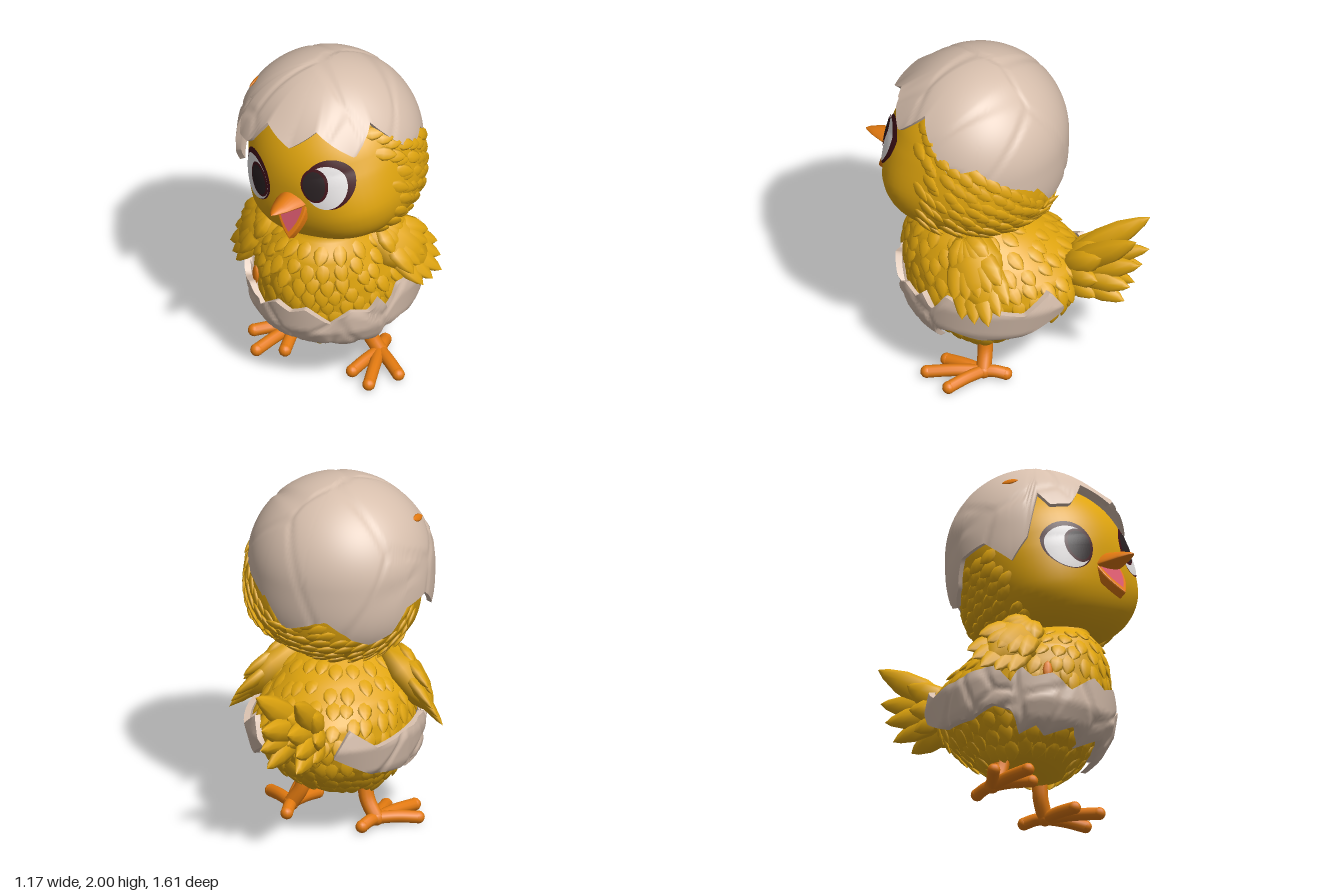
import * as THREE from 'three';
import { mergeGeometries, toCreasedNormals } from 'three/addons/utils/BufferGeometryUtils.js';

const mat = (name, color, side = THREE.FrontSide) => {
  const m = new THREE.MeshStandardMaterial({ color, side });
  m.name = name;
  return m;
};
const V = (x, y, z) => new THREE.Vector3(x, y, z);
const RAD = Math.PI / 180, TAU = Math.PI * 2;
let seed = 7;
const rnd = () => (seed = (seed * 16807) % 2147483647) / 2147483647;

// Linear lookup in rows of [key, value, value...]
function lookup(table, k, col = 1) {
  for (let i = 1; i < table.length; i++) {
    const a = table[i - 1], b = table[i];
    if (k <= b[0]) return a[col] + (b[col] - a[col]) * Math.max(0, (k - a[0]) / (b[0] - a[0]));
  }
  return table[table.length - 1][col];
}

// Surface from a rule fn(i, j) -> Vector3
function grid(nu, nv, fn, crease = 3) {
  const pos = [], idx = [];
  for (let i = 0; i <= nu; i++) for (let j = 0; j <= nv; j++) pos.push(...fn(i, j).toArray());
  for (let i = 0; i < nu; i++) for (let j = 0; j < nv; j++) {
    const a = i * (nv + 1) + j, b = a + nv + 1;
    idx.push(a, a + 1, b, b, a + 1, b + 1);
  }
  const g = new THREE.BufferGeometry();
  g.setAttribute('position', new THREE.Float32BufferAttribute(pos, 3));
  g.setIndex(idx);
  return toCreasedNormals(g, crease);
}

// Pointed, flattened feather
const lathe = (pts, n) => new THREE.LatheGeometry(pts.map(p => new THREE.Vector2(...p)), n);
const plume = lathe([[0, 0], [0.34, 0.15], [0.5, 0.45], [0.42, 0.7], [0.2, 0.9], [0, 1]], 8);
function feather(base, dir, normal, len, width, thick) {
  const y = dir.clone().normalize();
  const z = normal.clone().addScaledVector(y, -normal.dot(y)).normalize();
  const m = new THREE.Matrix4().makeBasis(y.clone().cross(z), y, z).setPosition(base);
  return plume.clone().applyMatrix4(m.scale(V(width, len, thick)));
}

// Body rings: y, x centre, z centre, x radius, z radius
const BODY = [[0.18, 0, 0.08, 0, 0], [0.2, 0, 0.08, 0.16, 0.15], [0.25, 0, 0.085, 0.27, 0.24],
  [0.35, 0, 0.085, 0.35, 0.38], [0.45, 0, 0.07, 0.395, 0.46], [0.6, 0, 0.05, 0.42, 0.5],
  [0.7, 0, 0.065, 0.41, 0.495], [0.8, 0, 0.115, 0.375, 0.445], [0.9, 0.02, 0.165, 0.3, 0.36],
  [1.0, 0.05, 0.215, 0.2, 0.22], [1.1, 0.06, 0.22, 0.2, 0.2]];
const bodyPoint = (y, a, ox = 0, oz = 0) => V(
  lookup(BODY, y, 1) + Math.sin(a) * (lookup(BODY, y, 3) + ox), y,
  lookup(BODY, y, 2) + Math.cos(a) * (lookup(BODY, y, 4) + oz));

// Round egg form with a fuller lower half; the skull also has broad cheeks
const HR = V(0.485, 0.46, 0.48);
const girth = y => y < 0 ? Math.cbrt(Math.max(0, 1 + y ** 3)) : Math.sqrt(Math.max(0, 1 - y * y));
const ovoid = (y, a, r) => V(Math.sin(a) * girth(y) * r.x, y * r.y, Math.cos(a) * girth(y) * r.z);
const boxy = y => 2 + 0.7 * Math.min(1, Math.max(0, (0.15 - y) / 0.6));
function skullPoint(y, a) {
  const p = ovoid(y, a, HR), n = boxy(y), c = Math.cos(a);
  const f = c > 0 ? Math.pow(Math.abs(Math.sin(a)) ** n + c ** n, -1 / n) : 1;
  return V(p.x * f, p.y, p.z * f);
}
function faceZ(x, y) {
  const n = boxy(y / HR.y);
  return HR.z * Math.pow(Math.max(0, girth(y / HR.y) ** n - Math.abs(x / HR.x) ** n), 1 / n);
}

// Eggshell outlines: angle from the front in degrees, height
const CAP_EDGE = [[0, 1.71], [18, 1.81], [45, 1.675], [62, 1.82], [89, 1.57], [108, 1.62], [137, 1.35],
  [150, 1.4], [165, 1.23], [195, 1.32], [212, 1.2], [225, 1.16], [240, 1.22], [250, 1.36], [270, 1.4],
  [288, 1.27], [298, 1.4], [304, 1.68], [312, 1.6], [325, 1.62], [336, 1.78], [360, 1.71]];
const BELT_TOP = [[0, 0.58], [11, 0.62], [27, 0.52], [40, 0.6], [52, 0.57], [60, 0.64], [66, 0.55], [76, 0.67],
  [105, 0.63], [124, 0.6], [143, 0.71], [153, 0.56]];
const BELT_LOW = [[0, 0.28], [16, 0.35], [37, 0.29], [48, 0.33], [62, 0.29], [68, 0.4], [80, 0.44],
  [100, 0.4], [128, 0.42], [153, 0.555]];

// Soft groove along the borders between scattered cells
function cracks(count, make) {
  const cells = Array.from({ length: count }, make);
  return p => {
    const d = cells.map(c => c.distanceTo(p)).sort((a, b) => a - b);
    return 1 - THREE.MathUtils.smoothstep(d[1] - d[0], 0, 0.05);
  };
}

export function createModel() {
  const model = new THREE.Group();
  const yellow = mat('yellow down', 0xe0a50e), shell = mat('eggshell', 0xd7bfad);
  const orange = mat('orange skin', 0xe37a10), pink = mat('mouth pink', 0xd4566a, THREE.DoubleSide);
  const white = mat('eye white', 0xe6e3e3), maroon = mat('dark maroon', 0x421219), black = mat('pupil black', 0x2a2123);
  const add = (parent, name, geo, m) => {
    const mesh = new THREE.Mesh(geo, m);
    mesh.name = name;
    parent.add(mesh);
    return mesh;
  };

  // Body with overlapping rows of small feathers
  add(model, 'body', grid(56, 46, (i, j) => bodyPoint(1.1 - 0.02 * j, i / 56 * TAU)), yellow);
  const coat = [];
  for (let row = 0; row < 10; row++) {
    const y = 0.96 - row * 0.075, n = Math.round(TAU * lookup(BODY, y, 3) / 0.085);
    for (let k = 0; k < n; k++) {
      const a = (k + (row % 2) / 2 + rnd() * 0.5) / n * TAU, p = bodyPoint(y + rnd() * 0.03, a);
      const down = bodyPoint(p.y - 0.04, a).sub(p).normalize();
      const out = bodyPoint(p.y, a + 0.05).sub(p).cross(down).negate().normalize();
      coat.push(feather(p.addScaledVector(out, -0.012), down.addScaledVector(out, 0.1), out, 0.12 + rnd() * 0.03, 0.09, 0.03));
    }
  }
  add(model, 'bodyFeathers', mergeGeometries(coat), yellow);

  // Tilted head
  const head = new THREE.Group();
  head.name = 'head';
  head.position.set(0.05, 1.45, 0.15);
  head.rotation.set(0, -0.12, 0.24, 'ZYX');
  head.updateMatrix();
  model.add(head);
  add(head, 'skull', grid(64, 40, (i, j) => skullPoint(Math.cos(j / 40 * Math.PI), i / 64 * TAU)), yellow);
  const ruff = [];
  for (let k = 0; k < 460; k++) {
    const p = skullPoint(1 - 2 * (k + 0.5) / 460, k * 2.39996 + rnd() * 0.1);
    const w = p.clone().applyMatrix4(head.matrix);
    const ang = (Math.atan2(w.x - 0.01, w.z - 0.14) / RAD + 360) % 360;
    if (p.z > 0.2 || w.y > lookup(CAP_EDGE, ang) + 0.03) continue;
    const out = p.clone().divide(HR).divide(HR).normalize();
    const dir = V(0, -0.6, -1);
    dir.addScaledVector(out, -dir.dot(out)).normalize().addScaledVector(out, 0.1);
    ruff.push(feather(p.addScaledVector(out, -0.012), dir, out, 0.12 + rnd() * 0.03, 0.08, 0.03));
  }
  add(head, 'headFeathers', mergeGeometries(ruff), yellow);

  // Eyes: thin layers that follow the face, both looking a little to one side
  const disc = (cx, cy, rx, ry, lift) => grid(48, 16, (i, j) => {
    const a = i / 48 * TAU, x = cx + Math.cos(a) * rx * j / 16, y = cy + Math.sin(a) * ry * j / 16;
    return V(x, y, faceZ(x, y) + lift);
  });
  const EYES = [
    { name: 'leftEye', rim: 0.247, white: [0.232, 0.112], iris: [0.182, 0.024] },
    { name: 'rightEye', rim: -0.249, white: [-0.254, 0.116], iris: [-0.21, 0.005] }];
  for (const e of EYES) {
    const eye = new THREE.Group();
    eye.name = e.name;
    head.add(eye);
    add(eye, 'eyeRim', disc(e.rim, 0.015, 0.129, 0.142, 0.005), maroon);
    add(eye, 'eyeWhite', disc(e.white[0], 0.002, e.white[1], 0.125, 0.009), white);
    add(eye, 'iris', disc(...e.iris, 0.075, 0.1, 0.013), maroon);
    add(eye, 'pupil', disc(...e.iris, 0.062, 0.086, 0.017), black);
  }

  // Open beak: ridged upper half with a flat underside, scoop-shaped jaw with a pink mouth
  const bill = lathe([[1, 0], [0.88, 0.3], [0.5, 0.7], [0.2, 0.92], [0, 1]], 24).rotateX(Math.PI / 2);
  const bp = bill.attributes.position;
  for (let i = 0; i < bp.count; i++) {
    const y = bp.getY(i);
    bp.setXY(i, bp.getX(i) * (1 - 0.4 * Math.max(0, y)), y < 0 ? y * 0.4 : y);
  }
  bill.scale(0.112, 0.075, 0.24).computeVertexNormals();
  const upper = add(head, 'upperBeak', bill, orange);
  upper.position.set(0, -0.1, 0.42);
  upper.rotation.x = -0.1;
  const lip = k => {
    const s = new THREE.Shape();
    s.moveTo(-0.1 * k, 0);
    s.lineTo(0.1 * k, 0);
    s.quadraticCurveTo(0.085 * k, -0.1 * k, 0, -0.185 * k);
    s.quadraticCurveTo(-0.085 * k, -0.1 * k, -0.1 * k, 0);
    return s;
  };
  const jaw = new THREE.Group();
  jaw.name = 'lowerBeak';
  jaw.position.set(0, -0.115, 0.47);
  jaw.rotation.x = -0.5;
  head.add(jaw);
  add(jaw, 'jaw', new THREE.ExtrudeGeometry(lip(0.95), { depth: 0.04, bevelSize: 0.008, bevelThickness: 0.008, bevelSegments: 2 })
    .translate(0, 0, -0.04), orange);
  add(jaw, 'mouth', new THREE.ShapeGeometry(lip(0.8)).translate(0, -0.003, 0.011), pink);

  // Cracked eggshell cap, flaring a little over the forehead
  const capR = V(0.52, 0.5, 0.495), capMid = V(0.01, 1.5, 0.14), M = 38;
  const capCrack = cracks(14, () => ovoid(rnd() * 1.5 - 0.5, rnd() * TAU, capR));
  add(model, 'eggshellCap', grid(180, 2 * M + 1, (i, j) => {
    const a = i / 180 * TAU, t = Math.min(j, 2 * M + 1 - j) / M;
    const edge = Math.acos((lookup(CAP_EDGE, i * 2) - 1.5) / 0.5);
    const p = ovoid(Math.cos(edge * t), a, capR);
    p.multiplyScalar(j > M ? 0.945 : 1 - 0.014 * capCrack(p));
    p.z += 0.04 * t ** 5 * Math.max(0, Math.cos(a));
    return p.add(capMid);
  }, 1.1), shell);

  // Cracked eggshell belt, open at the back
  const N = 12;
  const beltCrack = cracks(16, () => bodyPoint(0.3 + rnd() * 0.35, (rnd() * 2 - 1) * 2.2, 0.06, 0.03));
  add(model, 'eggshellBelt', grid(204, 2 * N + 2, (i, j) => {
    const deg = i * 1.5 - 153, k = j > 2 * N + 1 ? 0 : j, t = Math.min(k, 2 * N + 1 - k) / N;
    const top = lookup(BELT_TOP, Math.abs(deg)), low = lookup(BELT_LOW, Math.abs(deg));
    const p = bodyPoint(top + (low - top) * t, deg * RAD, 0.07, 0.05);
    const q = k > N ? 0.035 : 0.012 * beltCrack(p);
    return bodyPoint(p.y, deg * RAD, 0.075 - q, 0.055 - q);
  }, 1.1), shell);

  // Orange slivers showing through a split in the cap and behind the belt
  const capSpot = ovoid(0.58, -82 * RAD, capR), spotOut = capSpot.clone().normalize();
  add(model, 'capGap', feather(capSpot.add(capMid), V(0, -0.1, 1), spotOut, 0.11, 0.045, 0.016), orange);
  add(model, 'beltGap', feather(bodyPoint(0.69, -0.78, 0.02, 0.02), V(0, -1, 0), V(-0.6, 0, 0.8), 0.13, 0.06, 0.03), orange);

  // Wings: shoulder pad, long feathers and covering rows; the right one is swung forward
  for (const s of [1, -1]) {
    const root = s > 0 ? V(0.25, 0.95, 0.12) : V(-0.22, 0.95, 0.27);
    const tip = s > 0 ? V(0.57, 0.62, -0.1) : V(-0.59, 0.61, 0.18);
    const axis = tip.clone().sub(root).normalize(), out = s > 0 ? V(0.75, 0.6, 0.15) : V(-0.55, 0.5, 0.55);
    out.addScaledVector(axis, -out.dot(axis)).normalize();
    const fan = (ang, start, len, width, lift) => {
      const d = axis.clone().applyAxisAngle(out, ang);
      return feather(root.clone().addScaledVector(d, start).addScaledVector(out, lift), d, out, len, width, 0.075);
    };
    const parts = [feather(root.clone().addScaledVector(axis, -0.06), axis, out, 0.48, 0.34, 0.21)];
    for (let k = -2; k <= 2; k++) {
      parts.push(fan(k * 0.16, 0.1, 0.42 - Math.abs(k) * 0.03, 0.15, 0));
      parts.push(fan(k * 0.21, 0.08, 0.28, 0.14, 0.05));
      parts.push(fan(k * 0.3, 0.01, 0.19, 0.12, 0.065));
    }
    add(model, s > 0 ? 'leftWing' : 'rightWing', mergeGeometries(parts), yellow);
  }

  // Tail: two upright fans that meet at the root
  const tail = [], TAIL_X = -0.04;
  for (const s of [1, -1]) {
    const root = V(TAIL_X + s * 0.04, 0.67, -0.33);
    const tips = [[0.12, 1.01, -0.8], [0.08, 0.82, -0.81], [0.11, 0.68, -0.76], [0.09, 0.56, -0.72],
      [0.13, 0.86, -0.6], [0.14, 0.7, -0.58], [0.12, 0.57, -0.56], [0.03, 0.82, -0.58], [0.03, 0.66, -0.58]];
    tips.forEach(([x, y, z]) => {
      const d = V(TAIL_X + s * x, y, z).sub(root);
      tail.push(feather(root, d, V(s, 0.2, -0.2), d.length(), 0.16, 0.1));
    });
  }
  add(model, 'tail', mergeGeometries(tail), yellow);

  // Legs and toes
  for (const s of [1, -1]) {
    const foot = new THREE.Group();
    foot.name = s > 0 ? 'leftLeg' : 'rightLeg';
    model.add(foot);
    const limb = (name, pts, r) => {
      const path = new THREE.CatmullRomCurve3(pts.map(p => V(s * p[0], p[1], p[2])));
      add(foot, name, new THREE.TubeGeometry(path, 10, r, 12), orange);
      const end = add(foot, name + 'End', new THREE.SphereGeometry(r * 1.03, 12, 10), orange);
      end.position.copy(path.getPoint(1));
    };
    limb('shin', [[0.18, 0.26, 0.05], [0.2, 0.15, 0.04], [0.26, 0.05, 0.03]], 0.043);
    for (const [x, z] of [[0.21, 0.26], [0.35, 0.33], [0.45, 0.17], [0.23, -0.09]])
      limb('toe', [[0.26, 0.05, 0.03], [(x + 0.26) / 2, 0.05, (z + 0.03) / 2], [x, 0.036, z]], 0.035);
  }
  return model;
}
